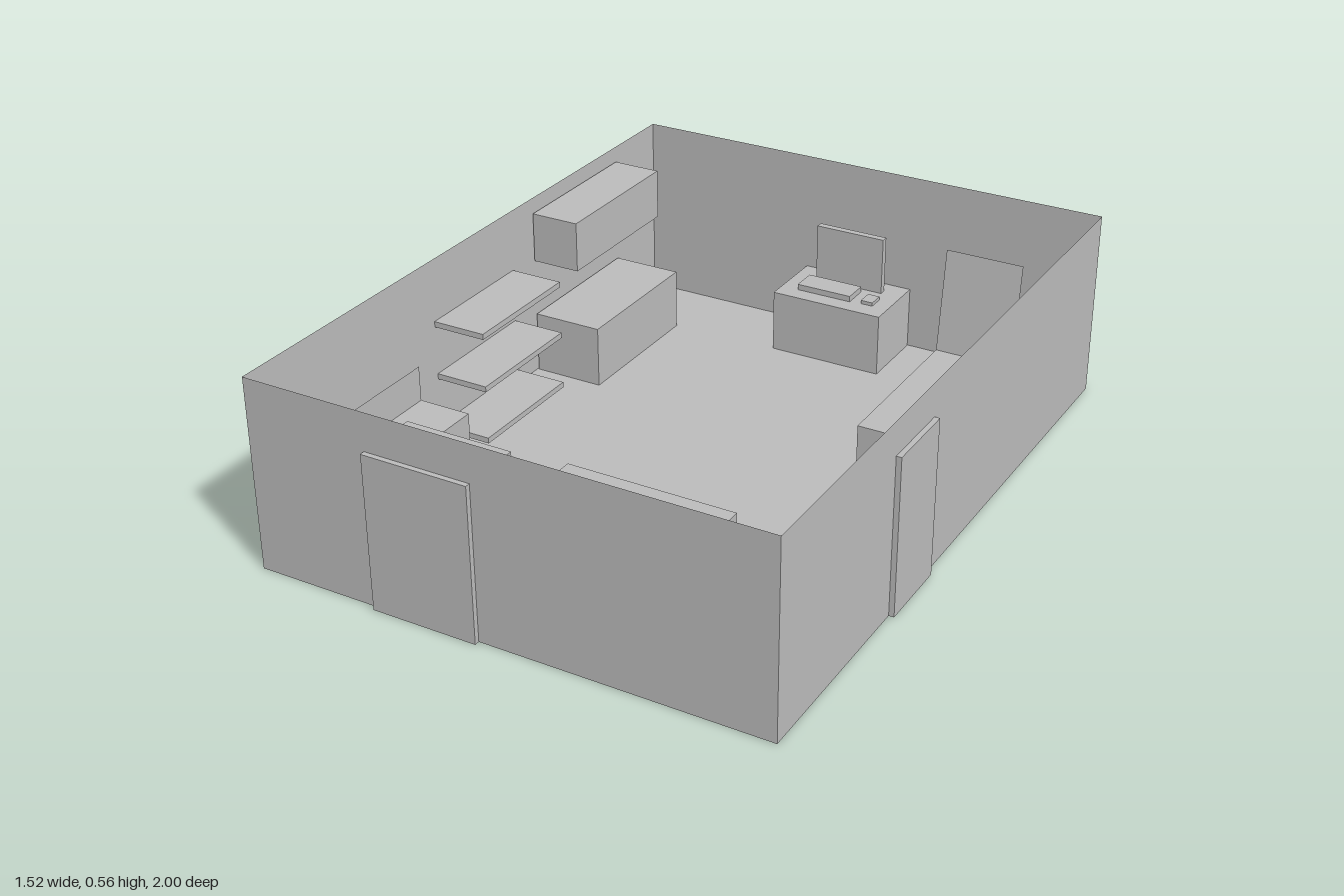
import * as THREE from 'three';

export function createModel() {
  const room = new THREE.Group();
  room.name = 'room';
  const grey = new THREE.MeshStandardMaterial({ color: 0xbcbcbc });
  grey.name = 'plain grey';
  grey.side = THREE.DoubleSide;

  // Solid block given by its limits along x, y and z
  function block(name, [x0, x1], [y0, y1], [z0, z1], parent = room) {
    const mesh = new THREE.Mesh(new THREE.BoxGeometry(x1 - x0, y1 - y0, z1 - z0), grey);
    mesh.position.set((x0 + x1) / 2, (y0 + y1) / 2, (z0 + z1) / 2);
    mesh.name = name;
    parent.add(mesh);
    return mesh;
  }

  // Flat sheet centred at a point, then turned
  function sheet(name, w, h, pos, rot = [0, 0, 0], parent = room) {
    const mesh = new THREE.Mesh(new THREE.PlaneGeometry(w, h), grey);
    mesh.position.set(...pos);
    mesh.rotation.set(...rot);
    mesh.name = name;
    parent.add(mesh);
    return mesh;
  }

  function part(name) {
    const g = new THREE.Group();
    g.name = name;
    room.add(g);
    return g;
  }

  // Shell: floor and four thin walls, open at the top
  const L = -0.76, R = 0.742, B = -1, F = 0.985, H = 0.56;
  const cx = (L + R) / 2, cz = (B + F) / 2;
  const shell = part('shell');
  sheet('floor', R - L, F - B, [cx, 0, cz], [-Math.PI / 2, 0, 0], shell);
  sheet('frontWall', R - L, H, [cx, H / 2, F], [0, 0, 0], shell);
  sheet('backWall', R - L, H, [cx, H / 2, B], [0, Math.PI, 0], shell);
  sheet('leftWall', F - B, H, [R, H / 2, cz], [0, Math.PI / 2, 0], shell);
  sheet('rightWall', F - B, H, [L, H / 2, cz], [0, -Math.PI / 2, 0], shell);

  // Door through the side wall, tall cupboard through the front wall
  block('door', [0.722, 0.757], [0, 0.46], [0.163, 0.388]);
  block('tallCupboard', [-0.395, -0.085], [0, 0.45], [0.81, 1]);

  // Front wall: low cabinet with a shelf above
  block('lowCabinet', [0.075, 0.535], [0, 0.145], [0.805, 0.97]);
  block('wallShelf', [0.075, 0.535], [0.41, 0.46], [0.805, 0.97]);

  // Side wall: counter with a hanging cupboard above
  block('counter', [-0.755, -0.54], [0, 0.187], [-0.765, -0.3]);
  block('hangingCupboard', [-0.755, -0.605], [0.362, 0.514], [-0.765, -0.3]);

  // Side wall: three open shelves
  const shelves = part('shelves');
  for (let i = 0; i < 3; i++) {
    const top = 0.047 + i * 0.164;
    block('shelf', [-0.758, -0.595], [top - 0.017, top], [-0.19, 0.2], shelves);
  }

  // Sofa with a thin back
  const sofa = part('sofa');
  block('sofaSeat', [-0.73, -0.57], [0, 0.19], [0.32, 0.73], sofa);
  sheet('sofaBack', 0.41, 0.105, [-0.73, 0.2425, 0.525], [0, Math.PI / 2, 0], sofa);

  // Couch with a thin back leaning away from the seat
  const couch = part('couch');
  block('couchBase', [0.358, 0.595], [0, 0.147], [-0.94, -0.215], couch);
  const rise = 0.308, lean = 0.04;
  sheet('couchBack', 0.237, Math.hypot(rise, lean), [0.4765, 0.147 + rise / 2, -0.765],
    [-Math.atan2(lean, rise), 0, 0], couch);

  // Desk with screen, keyboard and mouse
  const desk = part('desk');
  block('deskBody', [-0.2, 0.155], [0, 0.192], [-0.998, -0.775], desk);
  block('screen', [-0.132, 0.09], [0.192, 0.37], [-0.95, -0.928], desk);
  block('keyboard', [-0.145, 0.032], [0.192, 0.21], [-0.908, -0.828], desk);
  block('mouse', [0.067, 0.105], [0.192, 0.203], [-0.885, -0.834], desk);

  return room;
}
